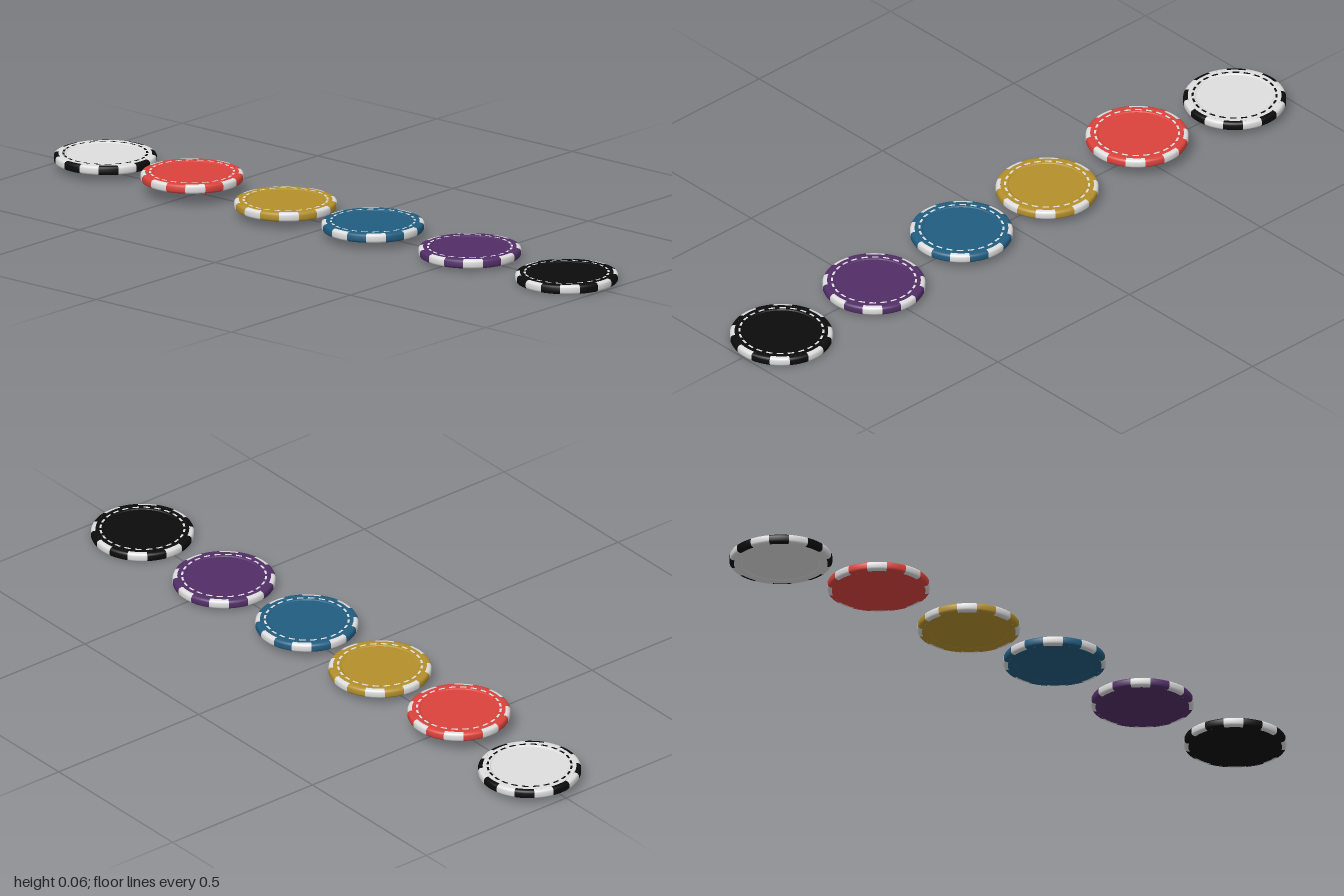
import * as THREE from 'three';
import { mergeGeometries } from 'three/addons/utils/BufferGeometryUtils.js';

const R = 0.143, T = 0.0262;       // chip radius and thickness
const FACE = 0.13, RECESS = 0.002; // flat face radius, depth of the centre
const STRIPES = 8, DASHES = 24;

const lathe = (pts, segments, start = 0, length = Math.PI * 2) =>
  new THREE.LatheGeometry(pts.map(([x, y]) => new THREE.Vector2(x, y)), segments, start, length);

// Rounded edge of the chip, bottom to top
const lowerEdge = [[FACE, 0], [0.136, 0.0006], [0.1405, 0.0028], [R, 0.0075]];
const edgeProfile = [...lowerEdge, ...lowerEdge.map(([x, y]) => [x, T - y]).reverse()];

// Flat ring, step and recessed centre; doubled points keep the creases
const topProfile = [[FACE, T], [0.11, T], [0.11, T], [0.107, T - RECESS], [0.107, T - RECESS], [0, T - RECESS]];
const bottomProfile = topProfile.map(([x, y]) => [x, T - y]).reverse();

// Every second sector of the edge; offset 0 centres one on the front
function edgeSectors(offset) {
  const step = Math.PI / STRIPES;
  const parts = [];
  for (let i = 0; i < STRIPES; i++) {
    parts.push(lathe(edgeProfile, 8, (2 * i + offset - 0.5) * step, step));
  }
  return mergeGeometries(parts);
}

// Thin dashed ring printed on the top face
function dashRing() {
  const step = (Math.PI * 2) / DASHES;
  const parts = [];
  for (let i = 0; i < DASHES; i++) {
    parts.push(new THREE.RingGeometry(0.1135, 0.1195, 4, 1, (i - 0.3) * step, step * 0.6));
  }
  return mergeGeometries(parts).rotateX(-Math.PI / 2).translate(0, T + 0.0005, 0);
}

export function createModel() {
  const group = new THREE.Group();
  group.name = 'chips';

  const material = (name, color) => {
    const m = new THREE.MeshStandardMaterial({ color });
    m.name = name;
    return m;
  };
  const black = material('black', 0x0b0b0b);
  const white = material('white', 0xdedede);
  const red = material('red', 0xdb423c);
  const gold = material('gold', 0xb4902c);
  const blue = material('blue', 0x215d80);
  const purple = material('purple', 0x522e68);

  const geometry = {
    topFace: lathe(topProfile, 64),
    bottomFace: lathe(bottomProfile, 64),
    edge: edgeSectors(1),
    edgeStripes: edgeSectors(0),
    dashes: dashRing(),
  };

  // name, base colour, accent colour, position
  const chips = [
    ['blackChip', black, white, 0.003, 0, 0.857],
    ['purpleChip', purple, white, 0, 0.008, 0.502],
    ['blueChip', blue, white, -0.014, 0.02, 0.156],
    ['goldChip', gold, white, -0.012, 0.02, -0.168],
    ['redChip', red, white, -0.014, 0.036, -0.512],
    ['whiteChip', white, black, 0.014, 0.019, -0.857],
  ];

  for (const [name, base, accent, x, y, z] of chips) {
    const chip = new THREE.Group();
    chip.name = name;
    for (const [part, geo] of Object.entries(geometry)) {
      const accented = part === 'edgeStripes' || part === 'dashes';
      const mesh = new THREE.Mesh(geo, accented ? accent : base);
      mesh.name = part;
      chip.add(mesh);
    }
    chip.position.set(x, y, z);
    group.add(chip);
  }
  return group;
}
